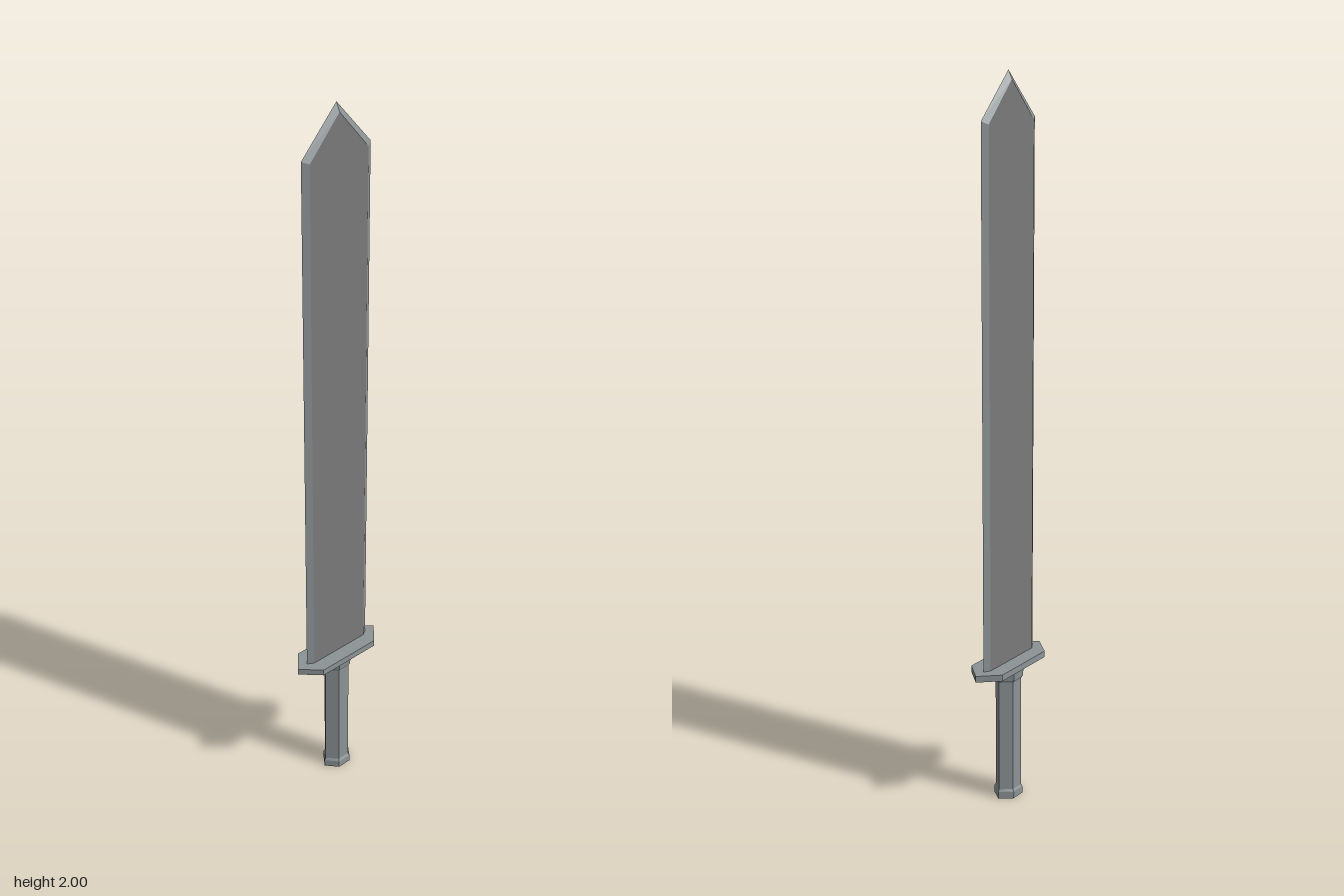
import * as THREE from 'three';

const steel = new THREE.MeshStandardMaterial({ color: 0x8c9496, flatShading: true });
const darkSteel = new THREE.MeshStandardMaterial({ color: 0x7a7a7a, flatShading: true });

// Joins rings of points (clockwise seen from the end they run toward) with flat walls and end caps
function loft(name, rings, material, { walls = true, caps = true } = {}) {
  const pos = [];
  const tri = (a, b, c) => pos.push(...a, ...b, ...c);
  const n = rings[0].length;
  if (walls) {
    for (let r = 0; r < rings.length - 1; r++) {
      const lo = rings[r], hi = rings[r + 1];
      for (let i = 0; i < n; i++) {
        const j = (i + 1) % n;
        tri(lo[i], hi[i], hi[j]);
        tri(lo[i], hi[j], lo[j]);
      }
    }
  }
  if (caps) {
    const first = rings[0], last = rings[rings.length - 1];
    for (let i = 1; i < n - 1; i++) {
      tri(first[0], first[i], first[i + 1]);
      tri(last[0], last[i + 1], last[i]);
    }
  }
  const geo = new THREE.BufferGeometry();
  geo.setAttribute('position', new THREE.Float32BufferAttribute(pos, 3));
  geo.computeVertexNormals();
  const mesh = new THREE.Mesh(geo, material);
  mesh.name = name;
  return mesh;
}

// Horizontal six-sided section: points at x = +-w, flats at z = +-d spanning x = +-f
const hex = ([y, w, f, d]) => [
  [w, y, 0], [f, y, d], [-f, y, d], [-w, y, 0], [-f, y, -d], [f, y, -d],
];

// Upright blade outline at depth z
const outline = (w, shoulder, tip, z) => [
  [w, shoulder, z], [w, 0.41, z], [-w, 0.41, z], [-w, shoulder, z], [0, tip, z],
];

export function createModel() {
  const sword = new THREE.Group();
  sword.name = 'sword';

  // Blade: flat faces with a bevel running around to a sharp edge
  const t = 0.011;
  const bladeRings = [
    outline(0.097, 1.872, 1.977, -t),
    outline(0.115, 1.88, 2, 0),
    outline(0.097, 1.872, 1.977, t),
  ];
  const blade = new THREE.Group();
  blade.name = 'blade';
  blade.add(
    loft('bladeFaces', bladeRings, darkSteel, { walls: false }),
    loft('bladeBevels', bladeRings, steel, { caps: false }),
  );
  sword.add(blade);

  // Guard: flat slab tapering underneath toward the grip
  sword.add(loft('guard', [
    [0.382, 0.06, 0.03, 0.034],
    [0.395, 0.15, 0.1, 0.053],
    [0.413, 0.15, 0.1, 0.053],
  ].map(hex), steel));

  // Collar, grip and pommel
  sword.add(loft('collar', [
    [0.355, 0.044, 0.019, 0.03],
    [0.362, 0.048, 0.021, 0.034],
    [0.383, 0.05, 0.022, 0.036],
  ].map(hex), steel));
  sword.add(loft('grip', [
    [0.02, 0.044, 0.019, 0.03],
    [0.36, 0.044, 0.019, 0.03],
  ].map(hex), steel));
  sword.add(loft('pommel', [
    [0, 0.048, 0.021, 0.034],
    [0.02, 0.048, 0.021, 0.034],
    [0.027, 0.044, 0.019, 0.03],
  ].map(hex), steel));

  return sword;
}
